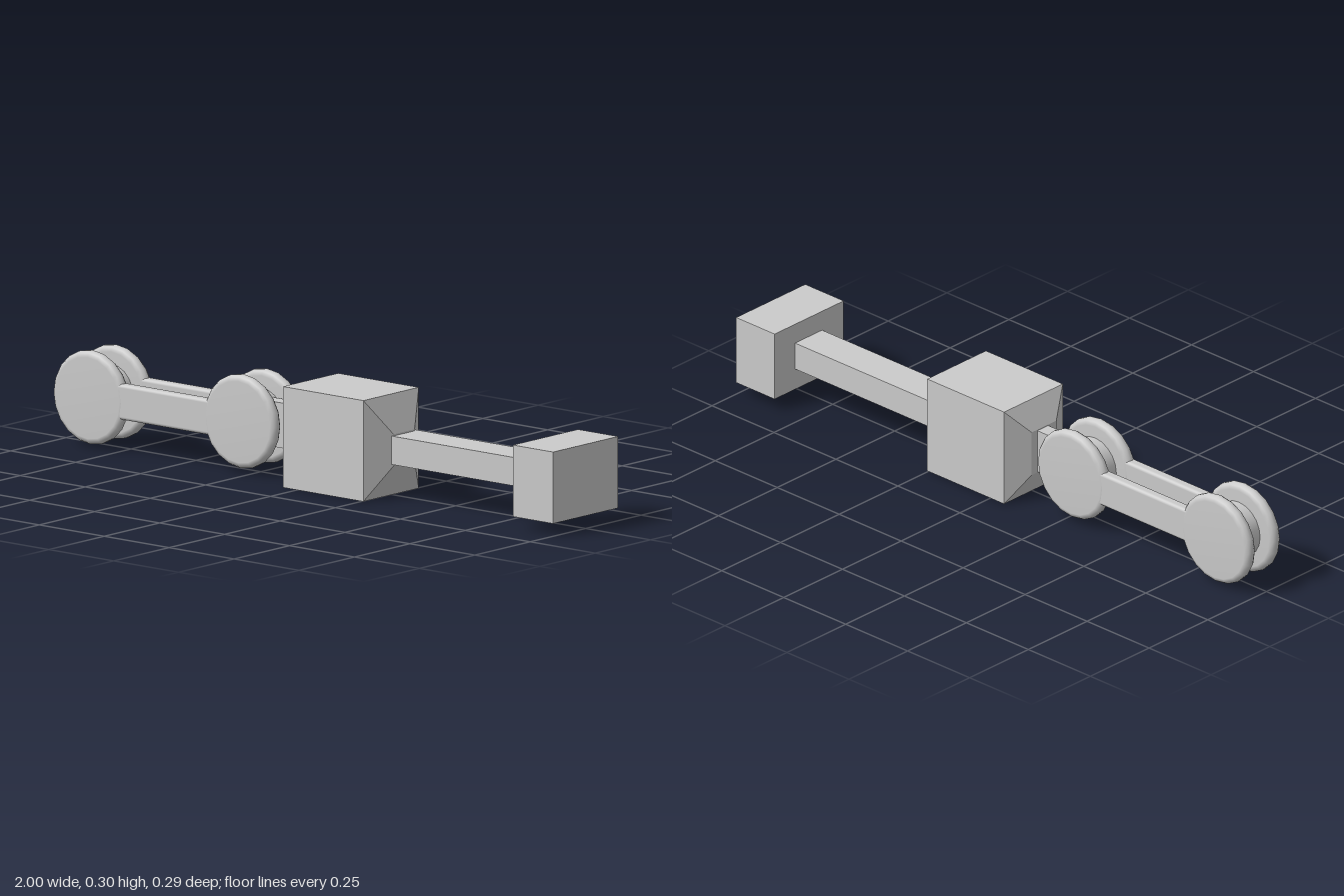
import * as THREE from 'three';
import { RoundedBoxGeometry } from 'three/addons/geometries/RoundedBoxGeometry.js';

export function createModel() {
  const model = new THREE.Group();
  const smooth = new THREE.MeshStandardMaterial({ color: 0xcccccc });
  const flat = new THREE.MeshStandardMaterial({ color: 0xcccccc, flatShading: true });

  const add = (name, geometry, material, x = 0, y = 0, z = 0) => {
    const mesh = new THREE.Mesh(geometry, material);
    mesh.name = name;
    mesh.position.set(x, y, z);
    model.add(mesh);
    return mesh;
  };

  // Box between two extents on each axis
  const block = (name, [x0, x1], [y0, y1], [z0, z1]) =>
    add(name, new THREE.BoxGeometry(x1 - x0, y1 - y0, z1 - z0), flat,
      (x0 + x1) / 2, (y0 + y1) / 2, (z0 + z1) / 2);

  // Block whose outer end (at x1) shrinks to a smaller rectangle
  const taper = (name, x0, x1, big, small) => {
    const g = new THREE.BoxGeometry(1, 1, 1);
    const p = g.attributes.position;
    const minX = Math.min(x0, x1), maxX = Math.max(x0, x1);
    for (let i = 0; i < p.count; i++) {
      const x = p.getX(i) > 0 ? maxX : minX;
      const r = x === x1 ? small : big;
      p.setXYZ(i, x, r.y[p.getY(i) > 0 ? 1 : 0], r.z[p.getZ(i) > 0 ? 1 : 0]);
    }
    g.computeVertexNormals();
    add(name, g, flat);
  };

  // Central body with a tapered face at each end
  const bodyY = [0, 0.302], bodyZ = [-0.12, 0.13];
  block('body', [-0.055, 0.255], bodyY, bodyZ);
  const big = { y: bodyY, z: bodyZ };
  taper('shaftTaper', 0.255, 0.303, big, { y: [0.1, 0.195], z: [-0.045, 0.05] });
  taper('linkTaper', -0.055, -0.1, big, { y: [0.085, 0.225], z: [-0.05, 0.055] });

  // Shaft and square end block
  block('shaft', [0.25, 0.85], [0.105, 0.19], [-0.06, 0.055]);
  block('endBlock', [0.845, 1], [0.038, 0.252], [-0.147, 0.147]);

  // Tongue joining the body to the link
  block('tongue', [-0.3, -0.09], [0.087, 0.222], [-0.026, 0.02]);

  // Link: two side plates with round ends, held apart by pins
  const zMid = -0.004, joints = [[-0.86, 0.148], [-0.28, 0.155]];
  const profile = [[0, -0.019], [0.122, -0.019], [0.134, -0.014], [0.14, -0.005],
    [0.14, 0.005], [0.134, 0.014], [0.122, 0.019], [0, 0.019]]
    .map(([r, h]) => new THREE.Vector2(r, h));
  const disc = new THREE.LatheGeometry(profile, 20).rotateX(Math.PI / 2);
  const bar = new RoundedBoxGeometry(0.46, 0.106, 0.034, 3, 0.01);
  const pin = new THREE.CylinderGeometry(0.086, 0.086, 0.09, 20).rotateX(Math.PI / 2);

  for (const side of [-1, 1]) {
    const z = zMid + side * 0.053;
    for (const [x, y] of joints) add('plateEnd', disc, smooth, x, y, z);
    add('plateBar', bar, smooth, -0.57, 0.152, z);
  }
  for (const [x, y] of joints) add('pin', pin, smooth, x, y, zMid);

  return model;
}
